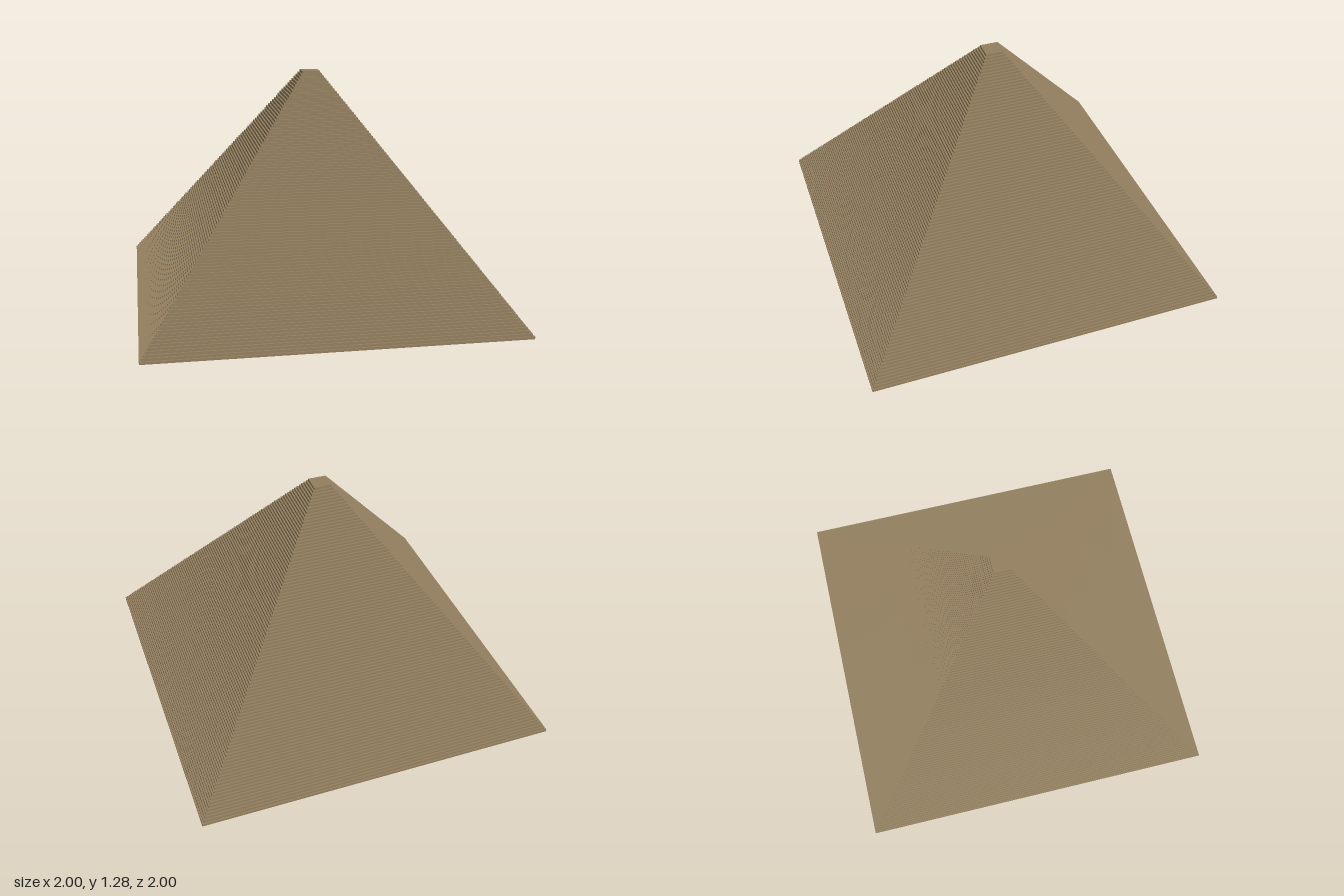
import * as THREE from 'three';

const LAYERS = 96;
const HEIGHT = 1.28;
const BASE_HALF = 1;
const TOP_HALF = 0.05;

// Square shell from a half-width/height profile, with flat faces
function squareShell(profile) {
  const points = profile.map(([half, y]) => new THREE.Vector2(half * Math.SQRT2, y));
  const geometry = new THREE.LatheGeometry(points, 4).rotateY(Math.PI / 4).toNonIndexed();
  geometry.computeVertexNormals();
  return geometry;
}

export function createModel() {
  const model = new THREE.Group();
  model.name = 'steppedPyramid';
  const sandstone = new THREE.MeshStandardMaterial({ color: 0x94805f, side: THREE.DoubleSide });
  sandstone.name = 'sandstone';

  // Courses: a riser and a tread for each layer, hollow and open underneath
  const rise = HEIGHT / LAYERS;
  const run = (BASE_HALF - TOP_HALF) / (LAYERS - 1);
  const profile = [];
  for (let i = 0; i < LAYERS; i++) {
    const half = BASE_HALF - i * run;
    profile.push([half, i * rise], [half, (i + 1) * rise]);
  }
  const courses = new THREE.Mesh(squareShell(profile), sandstone);
  courses.name = 'steppedCourses';

  // Flat square summit
  const summit = new THREE.Mesh(
    new THREE.PlaneGeometry(TOP_HALF * 2, TOP_HALF * 2).rotateX(-Math.PI / 2),
    sandstone
  );
  summit.position.y = HEIGHT;
  summit.name = 'summit';

  model.add(courses, summit);
  return model;
}
